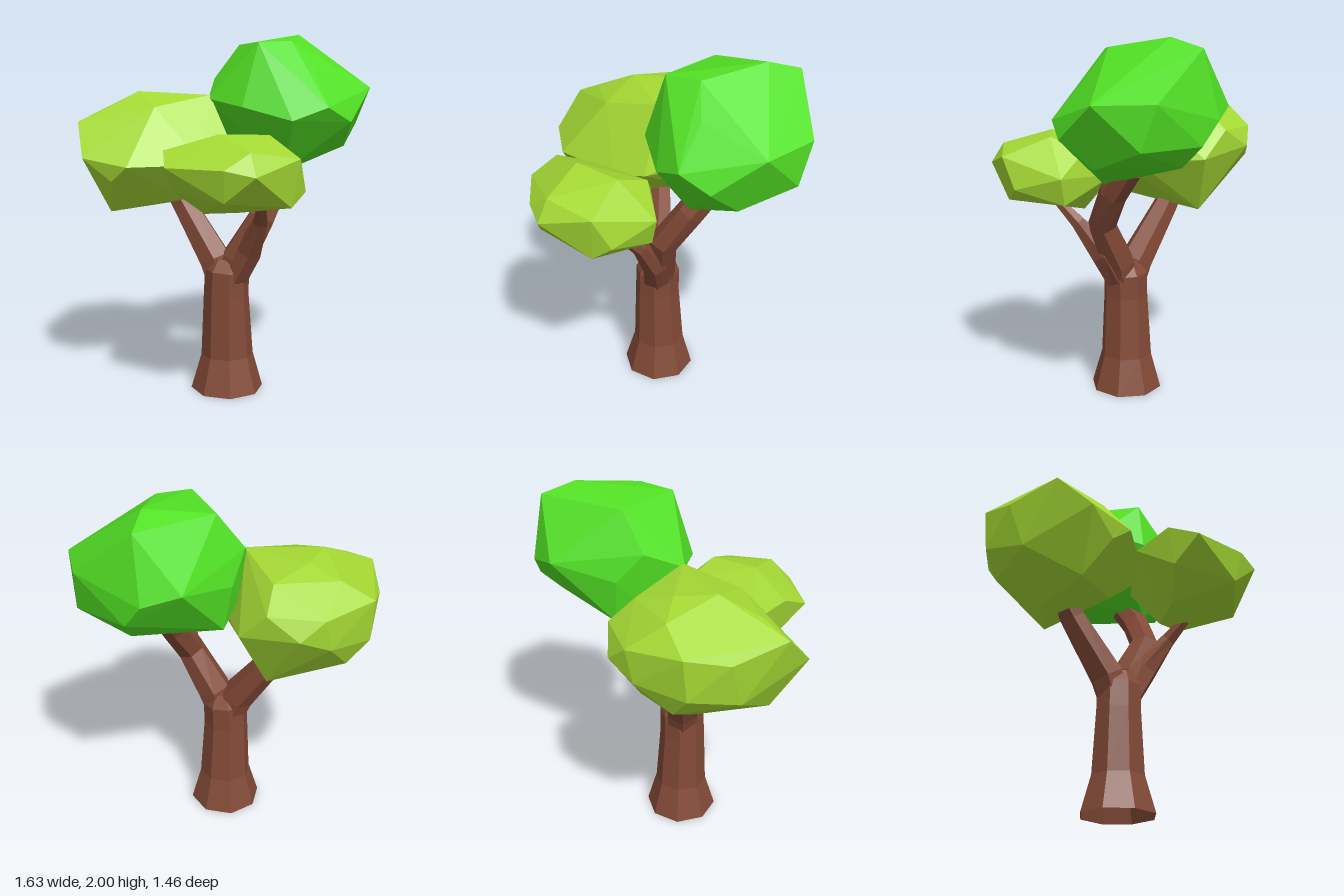
import * as THREE from 'three';
import { ConvexGeometry } from 'three/addons/geometries/ConvexGeometry.js';

const material = (color, side = THREE.FrontSide) => new THREE.MeshStandardMaterial({ color, side, flatShading: true });

// Faceted tapered limb through [x, y, z, radius] stations, open at its foot and capped at its tip
function limb(name, stations, sides, mat) {
  const pts = stations.map(([x, y, z]) => new THREE.Vector3(x, y, z));
  const up = new THREE.Vector3(0, 1, 0);
  const pos = [], idx = [];
  stations.forEach((s, i) => {
    const dir = pts[Math.min(i + 1, pts.length - 1)].clone().sub(pts[Math.max(i - 1, 0)]).normalize();
    const q = new THREE.Quaternion().setFromUnitVectors(up, dir);
    for (let k = 0; k < sides; k++) {
      const a = ((k + 0.5) / sides) * Math.PI * 2;
      const v = new THREE.Vector3(Math.sin(a), 0, Math.cos(a)).multiplyScalar(s[3]);
      pos.push(...v.applyQuaternion(q).setY(i ? v.y : 0).add(pts[i]).toArray());
    }
  });
  for (let i = 0; i < pts.length - 1; i++) {
    for (let k = 0; k < sides; k++) {
      const a = i * sides + k, b = i * sides + ((k + 1) % sides);
      idx.push(a, b, b + sides, a, b + sides, a + sides);
    }
  }
  const last = (pts.length - 1) * sides;
  for (let k = 1; k < sides - 1; k++) idx.push(last, last + k, last + k + 1);
  const geo = new THREE.BufferGeometry();
  geo.setAttribute('position', new THREE.Float32BufferAttribute(pos, 3));
  geo.setIndex(idx);
  geo.computeVertexNormals();
  const mesh = new THREE.Mesh(geo, mat);
  mesh.name = name;
  return mesh;
}

// Faceted leaf clump wrapped around a few corner points
function clump(name, corners, mat) {
  const mesh = new THREE.Mesh(new ConvexGeometry(corners.map((c) => new THREE.Vector3(...c))), mat);
  mesh.name = name;
  return mesh;
}

export function createModel() {
  const tree = new THREE.Group();
  tree.name = 'tree';
  const bark = material(0x834a37, THREE.DoubleSide);
  const olive = material(0xa4d934);
  const green = material(0x52e024);

  // Flared trunk and three branches
  tree.add(
    limb('trunk', [[-0.045, 0, -0.01, 0.204], [-0.043, 0.2, -0.01, 0.147], [-0.05, 0.55, -0.007, 0.127],
      [-0.045, 0.69, -0.005, 0.125], [-0.04, 0.76, 0, 0.085]], 8, bark),
    limb('leftBranch', [[-0.04, 0.56, 0.01, 0.085], [0, 0.76, 0.045, 0.1], [0.09, 1, 0.145, 0.08],
      [0.22, 1.2, 0.1, 0.078], [0.31, 1.34, 0.03, 0.072]], 6, bark),
    limb('backBranch', [[-0.055, 0.55, -0.02, 0.085], [-0.085, 0.74, -0.07, 0.097],
      [-0.185, 1.03, -0.255, 0.073], [-0.23, 1.15, -0.32, 0.068]], 6, bark),
    limb('frontBranch', [[-0.035, 0.57, 0.01, 0.085], [0.02, 0.82, 0.135, 0.075],
      [0.01, 1, 0.27, 0.043], [-0.05, 1.13, 0.39, 0.025]], 6, bark),
  );

  // Leaf clumps
  tree.add(
    clump('topFoliage', [
      [0.5, 2, -0.14], [0.62, 1.95, -0.27], [0.28, 1.95, 0.13], [0.08, 1.94, 0.12], [0.16, 1.94, -0.24],
      [-0.11, 1.64, -0.1], [0.02, 1.75, -0.28], [0.14, 1.6, -0.35], [0.47, 1.67, -0.44], [0.64, 1.62, -0.35],
      [0.81, 1.71, -0.02], [0.78, 1.49, 0.05], [0.71, 1.7, 0.27], [0.33, 1.6, 0.42], [0.49, 1.52, 0.4],
      [0.16, 1.53, 0.34], [-0.03, 1.6, 0.14], [0.03, 1.44, 0.06], [0.24, 1.25, 0.15], [0.17, 1.36, -0.32],
      [0.61, 1.39, -0.18], [0.56, 1.38, 0.24], [0.35, 1.8, 0.25], [0.68, 1.5, -0.26], [0.05, 1.46, -0.26],
    ], green),
    clump('backFoliage', [
      [-0.42, 1.68, -0.35], [-0.24, 1.67, -0.45], [-0.1, 1.66, -0.1], [-0.3, 1.63, -0.63], [-0.43, 1.6, -0.1],
      [-0.03, 1.61, -0.45], [-0.82, 1.34, -0.15], [-0.78, 1.52, -0.33], [-0.61, 1.47, -0.58], [-0.44, 1.53, -0.73],
      [-0.14, 1.5, -0.73], [-0.02, 1.4, -0.69], [0.07, 1.5, -0.54], [0.14, 1.35, -0.41], [0.02, 1.3, -0.1],
      [-0.05, 1.34, 0.11], [-0.25, 1.3, 0.115], [-0.65, 1.3, 0.04], [-0.65, 1.04, -0.2], [-0.35, 1.02, -0.42],
      [-0.03, 1.04, -0.42], [-0.35, 1.17, -0.66], [-0.3, 1.1, -0.06], [-0.7, 1.22, -0.05], [-0.45, 1.3, -0.71],
      [-0.63, 1.22, -0.5], [-0.18, 1.33, -0.73], [-0.62, 1.59, -0.3],
    ], olive),
    clump('frontFoliage', [
      [-0.29, 1.48, 0.38], [-0.02, 1.47, 0.41], [0.04, 1.4, 0.23], [-0.27, 1.41, 0.66], [-0.59, 1.33, 0.39],
      [-0.53, 1.4, 0.24], [-0.42, 1.32, 0.08], [-0.05, 1.25, 0.06], [-0.4, 1.33, 0.64], [-0.28, 1.3, 0.73],
      [0, 1.37, 0.67], [0.07, 1.2, 0.61], [0.18, 1.27, 0.37], [0.14, 1.12, 0.35], [-0.1, 1.05, 0.22],
      [-0.32, 1.07, 0.27], [-0.38, 1.17, 0.6], [-0.03, 1.13, 0.64], [-0.5, 1.2, 0.27],
    ], olive),
  );
  return tree;
}
